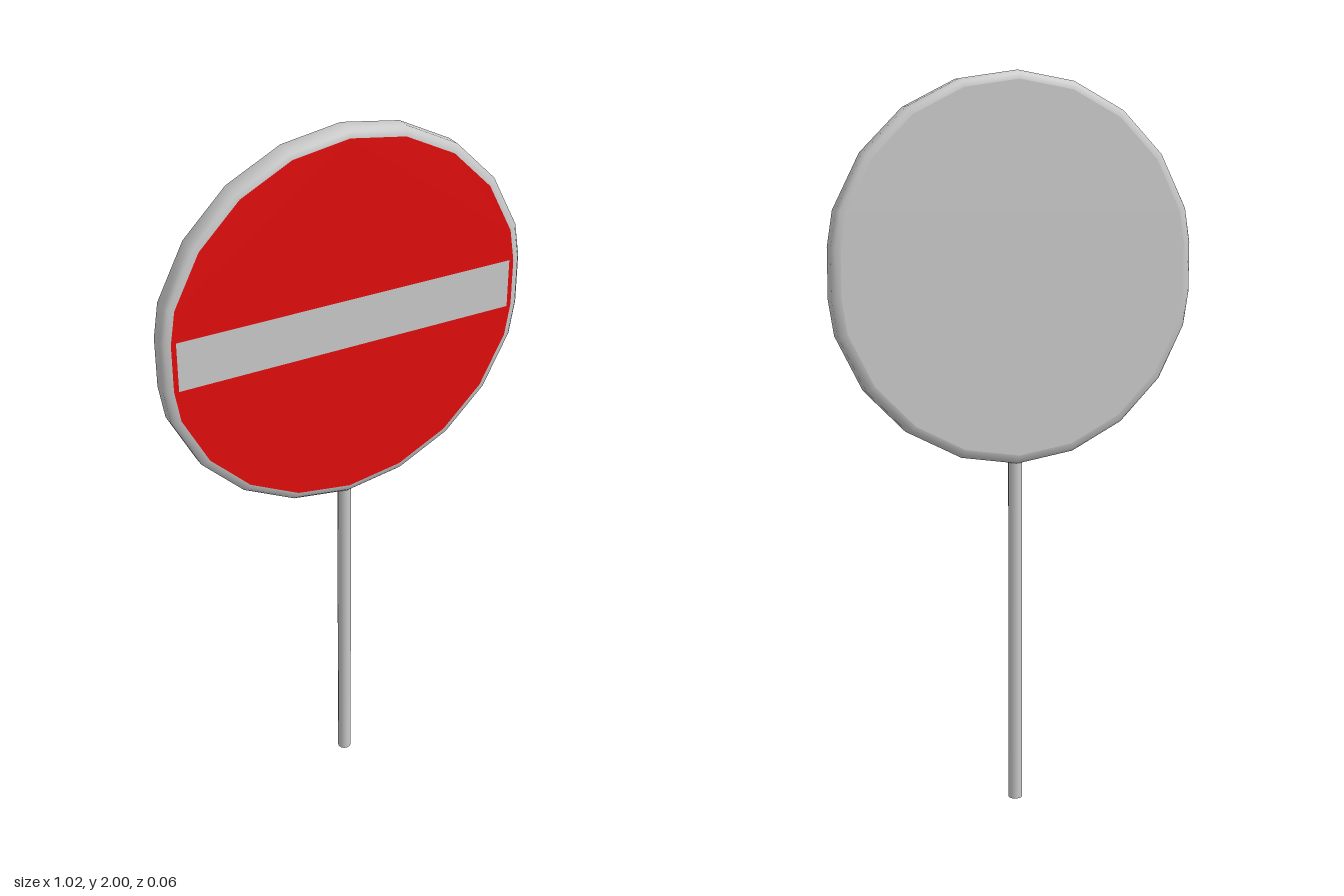
import * as THREE from 'three';

const CENTER_Y = 1.478, RADIUS = 0.522, FACE_RADIUS = 0.498, HALF_DEPTH = 0.031;

// Counterclockwise 20-sided outline whose two side corners are cut off level with the bar
function outline(radius) {
  const points = [];
  for (let i = 0; i < 20; i++) {
    const a = (i / 20) * Math.PI * 2;
    if (i % 10 === 0) {
      const s = i === 0 ? 1 : -1;
      points.push(new THREE.Vector2(s * 0.98, -s * 0.13), new THREE.Vector2(s * 0.98, s * 0.13));
    } else {
      points.push(new THREE.Vector2(Math.cos(a), Math.sin(a)));
    }
  }
  return points.map((p) => p.multiplyScalar(radius));
}

// Smooth rounded band swept around the outline, from back to front
function rimGeometry() {
  const profile = [[FACE_RADIUS, -HALF_DEPTH], [0.513, -0.028], [RADIUS, -0.018],
    [RADIUS, 0.018], [0.513, 0.028], [FACE_RADIUS, HALF_DEPTH]];
  const positions = [], indices = [];
  const n = outline(1).length;
  profile.forEach(([r, z], k) => {
    outline(r).forEach((p) => positions.push(p.x, p.y, z));
    if (k === 0) return;
    for (let i = 0; i < n; i++) {
      const j = (i + 1) % n, a = (k - 1) * n, b = k * n;
      indices.push(a + i, a + j, b + j, a + i, b + j, b + i);
    }
  });
  const geometry = new THREE.BufferGeometry();
  geometry.setAttribute('position', new THREE.Float32BufferAttribute(positions, 3));
  geometry.setIndex(indices);
  geometry.computeVertexNormals();
  return geometry;
}

export function createModel() {
  const model = new THREE.Group();
  model.name = 'roadSign';
  const grey = new THREE.MeshStandardMaterial({ color: 0xcccccc });
  const red = new THREE.MeshStandardMaterial({ color: 0xe50d0d });

  function add(name, geometry, material, y, z = 0) {
    const mesh = new THREE.Mesh(geometry, material);
    mesh.name = name;
    mesh.position.set(0, y, z);
    model.add(mesh);
    return mesh;
  }

  // Post, ending inside the sign
  add('post', new THREE.CylinderGeometry(0.019, 0.019, 1.0, 12), grey, 0.5);

  // Sign plate: rim, red front, plain back
  const face = new THREE.ShapeGeometry(new THREE.Shape(outline(FACE_RADIUS)));
  add('rim', rimGeometry(), grey, CENTER_Y);
  add('frontFace', face, red, CENTER_Y, HALF_DEPTH);
  add('backFace', face, grey, CENTER_Y, -HALF_DEPTH).rotation.y = Math.PI;

  // Horizontal bar on the front
  add('bar', new THREE.PlaneGeometry(0.95, 0.136), grey, CENTER_Y, HALF_DEPTH + 0.001);

  return model;
}
